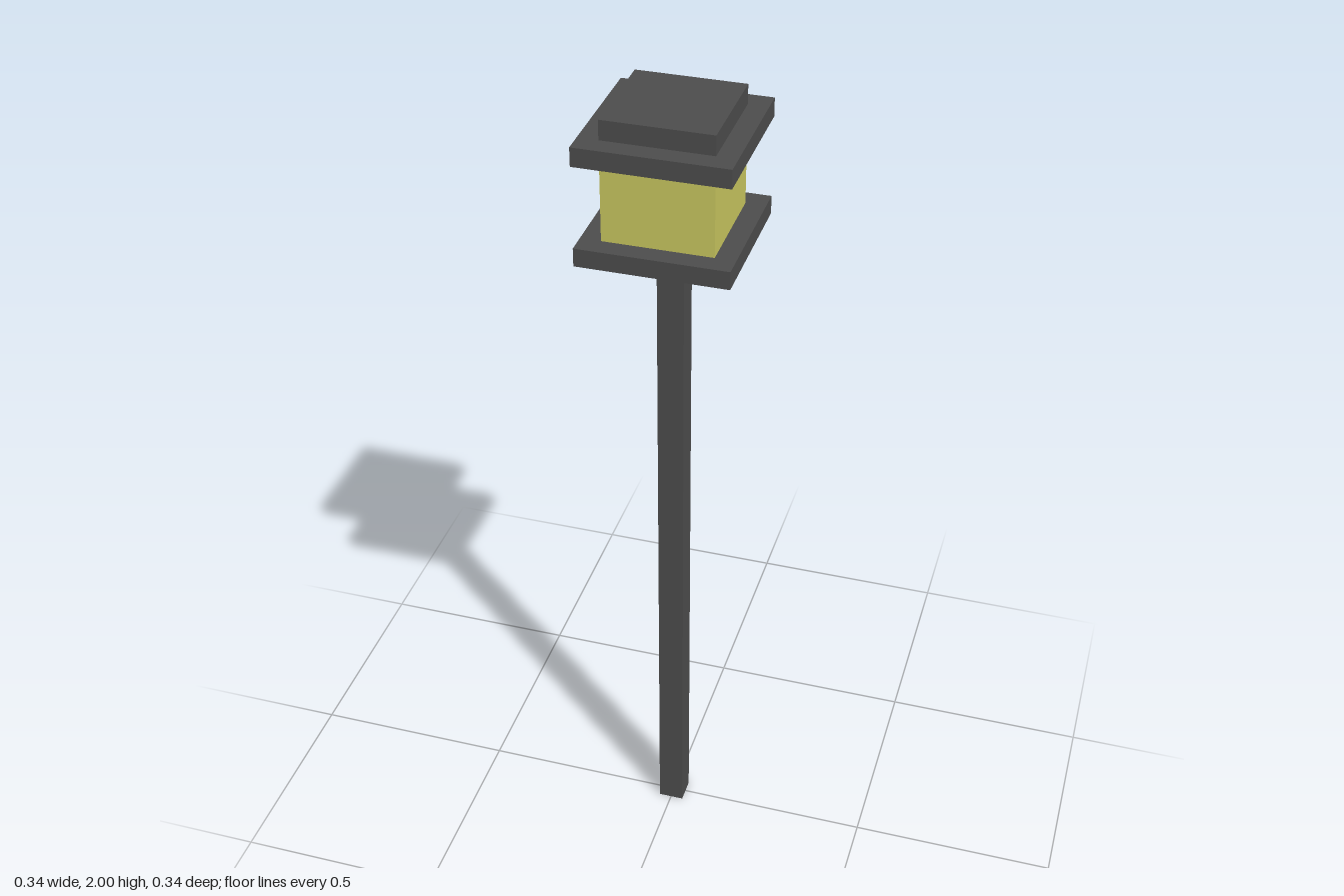
import * as THREE from 'three';

export function createModel() {
  const model = new THREE.Group();
  model.name = 'lampPost';

  const darkMetal = new THREE.MeshStandardMaterial({ color: 0x4d4d4d });
  darkMetal.name = 'dark metal';
  const yellowGlass = new THREE.MeshStandardMaterial({ color: 0xcac860 });
  yellowGlass.name = 'yellow glass';

  // Square blocks stacked from the ground up: name, width, bottom, top, material
  const blocks = [
    ['pole', 0.062, 0, 1.63, darkMetal],
    ['collar', 0.156, 1.63, 1.676, darkMetal],
    ['lanternBase', 0.344, 1.676, 1.719, darkMetal],
    ['lanternGlass', 0.25, 1.719, 1.91, yellowGlass],
    ['lanternRoof', 0.344, 1.91, 1.954, darkMetal],
    ['roofCap', 0.25, 1.954, 2, darkMetal],
  ];

  for (const [name, width, bottom, top, material] of blocks) {
    const mesh = new THREE.Mesh(new THREE.BoxGeometry(width, top - bottom, width), material);
    mesh.name = name;
    mesh.position.y = (bottom + top) / 2;
    model.add(mesh);
  }

  return model;
}
